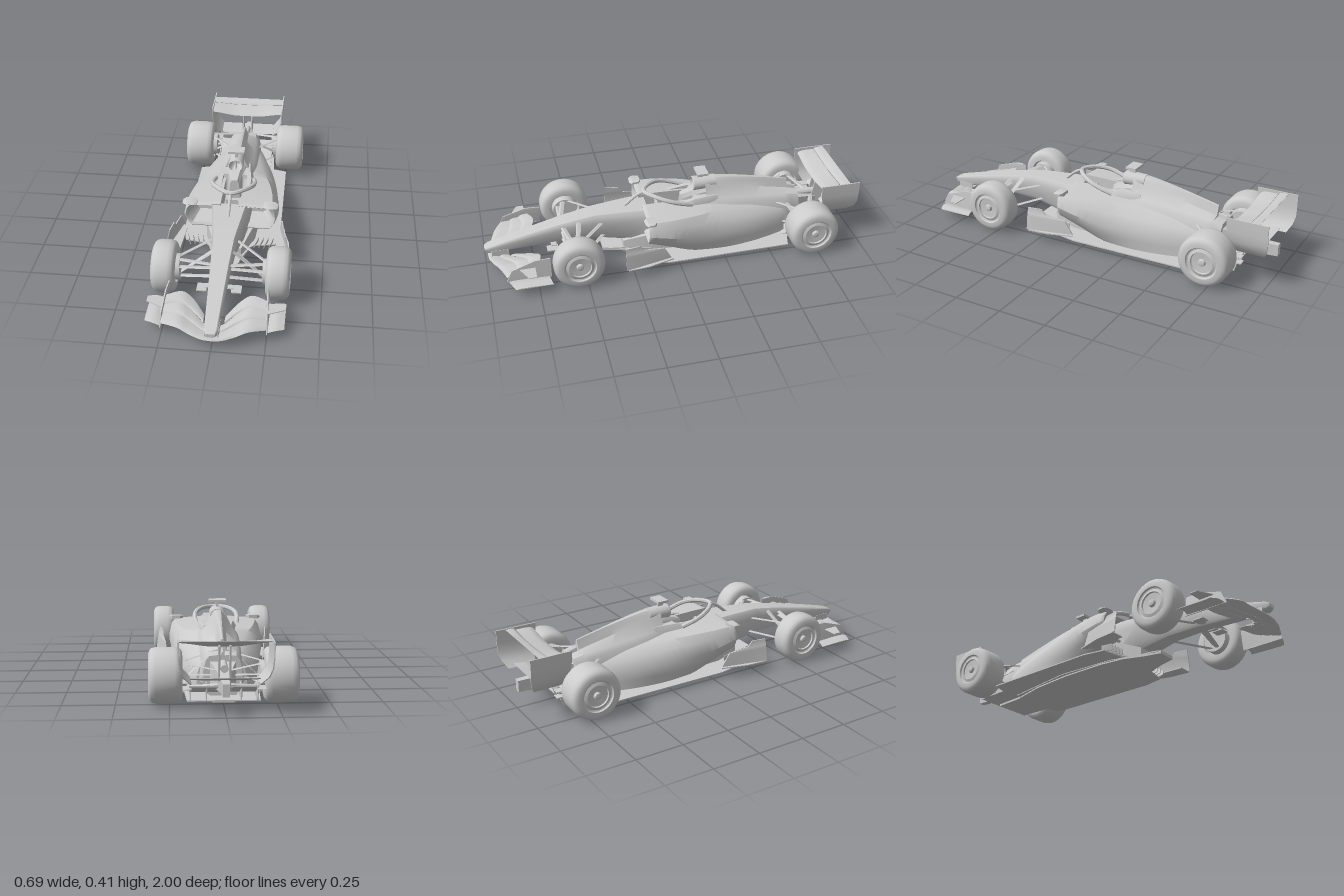
import * as THREE from 'three';
import { toCreasedNormals } from 'three/addons/utils/BufferGeometryUtils.js';

const grey = new THREE.MeshStandardMaterial({ color: 0xcccccc });

function mesh(name, geometry, crease = 0.6) {
  const m = new THREE.Mesh(toCreasedNormals(geometry, crease), grey);
  m.name = name;
  return m;
}

// Skin over closed rings (counter-clockwise seen from the first ring's outside), capped at both ends
function loft(rings) {
  const n = rings[0].length, pos = [], idx = [];
  rings.forEach((r) => r.forEach((p) => pos.push(...p)));
  for (let i = 0; i < rings.length - 1; i++) {
    for (let j = 0; j < n; j++) {
      const k = (j + 1) % n, a = i * n + j, b = i * n + k;
      idx.push(a, a + n, b + n, a, b + n, b);
    }
  }
  [0, rings.length - 1].forEach((i) => {
    const c = pos.length / 3;
    pos.push(...[0, 1, 2].map((q) => rings[i].reduce((s, p) => s + p[q], 0) / n));
    for (let j = 0; j < n; j++) {
      const a = i * n + j, b = i * n + (j + 1) % n;
      if (i === 0) idx.push(c, a, b); else idx.push(c, b, a);
    }
  });
  const g = new THREE.BufferGeometry();
  g.setAttribute('position', new THREE.Float32BufferAttribute(pos, 3));
  g.setIndex(idx);
  return g;
}

// Catmull-Rom interpolation of every column in a table of section values
function smooth(rows, steps = 4) {
  const out = [], at = (i) => rows[Math.min(rows.length - 1, Math.max(0, i))];
  for (let i = 0; i < rows.length - 1; i++) {
    for (let s = 0; s < steps; s++) {
      const t = s / steps;
      out.push(rows[i].map((b, c) => {
        const a = at(i - 1)[c], d = at(i + 1)[c], e = at(i + 2)[c];
        return b + 0.5 * t * (d - a + t * (2 * a - 5 * b + 4 * d - e + t * (3 * (b - d) + e - a)));
      }));
    }
  }
  out.push(at(rows.length));
  return out;
}

// Mirror a half section (bottom to top, x >= 0) into a full ring
const symmetric = (half, z) => [
  ...half.map(([x, y]) => [x, y, z]),
  ...half.filter(([x]) => x > 0).reverse().map(([x, y]) => [-x, y, z]),
];

// Half wing from stations [x, zLead, yLead, zTrail, yTrail], using the chord part from f0 to f1
function wing(stations, f0, f1, thick) {
  const foil = [[0, 0], [0.12, 0.6], [0.4, 0.7], [1, 0.05], [1, -0.1], [0.4, -0.4], [0.1, -0.4]];
  return loft(smooth(stations, 5).map(([x, zl, yl, zt, yt]) => foil.map(([u, v]) => {
    const f = f0 + (f1 - f0) * u;
    return [x, yl + (yt - yl) * f ** 1.3 + v * thick, zl + (zt - zl) * f];
  })));
}

// Thin upright plate from levels [y, xFront, zFront, xBack, zBack], top to bottom
const plate = (levels, t = 0.003) => loft(levels.map(([y, xf, zf, xb, zb]) =>
  [[xf + t, y, zf], [xb + t, y, zb], [xb - t, y, zb], [xf - t, y, zf]]));

// Flat horizontal panel from an outline of [x, z]
function panel(outline, y, h) {
  const g = new THREE.ExtrudeGeometry(new THREE.Shape(outline.map(([x, z]) => new THREE.Vector2(x, -z))),
    { depth: h, bevelEnabled: false });
  return g.rotateX(-Math.PI / 2).translate(0, y, 0);
}

// Panel spanning both sides, from its +x edge listed front to back
const fullPanel = (edge, y, h) => panel([...edge, ...edge.map(([x, z]) => [-x, z]).reverse()], y, h);

const box = (w, h, d, x, y, z) => new THREE.BoxGeometry(w, h, d).translate(x, y, z);

// Flattened strut running outwards from a to b
const strut = (a, b, chord = 0.013, t = 0.004) => loft([a, b].map(([x, y, z]) =>
  [[x, y, z + chord], [x, y + t, z + chord * 0.3], [x, y, z - chord], [x, y - t, z + chord * 0.3]]));

function tube(points, r) {
  return new THREE.TubeGeometry(new THREE.CatmullRomCurve3(points.map((p) => new THREE.Vector3(...p))), 28, r, 8);
}

// Tyre and dished rim turned as one profile, outer face towards +x
function wheel(width, x, z) {
  const h = width / 2, R = 0.132;
  const pts = [[0, -h + 0.02], [0.075, -h + 0.02], [0.08, -h], [0.105, -h], [0.118, -h + 0.006], [0.127, -h + 0.015],
    [R, -h + 0.035], [R, h - 0.035], [0.127, h - 0.015], [0.118, h - 0.006], [0.105, h], [0.083, h], [0.079, h - 0.008],
    [0.073, h - 0.01], [0.058, h - 0.004], [0.055, h - 0.012], [0.02, h - 0.015], [0.016, h - 0.003], [0.007, h], [0, h]];
  return new THREE.LatheGeometry(pts.map((p) => new THREE.Vector2(...p)), 48)
    .rotateZ(-Math.PI / 2).translate(x, R, z);
}

export function createModel() {
  const car = new THREE.Group(), left = new THREE.Group();
  left.name = 'leftSide';
  const add = (name, g, c) => car.add(mesh(name, g, c));
  const side = (name, g, c) => left.add(mesh(name, g, c));

  // Nose and tub: z, top half width, bottom half width, bottom y, top y, cockpit depth
  const tub = [[1, 0.022, 0.018, 0.085, 0.105, 0], [0.98, 0.032, 0.028, 0.076, 0.116, 0], [0.8, 0.041, 0.034, 0.085, 0.162, 0],
    [0.6, 0.051, 0.043, 0.1, 0.208, 0], [0.42, 0.062, 0.052, 0.1, 0.242, 0], [0.25, 0.085, 0.07, 0.07, 0.25, 0],
    [0.13, 0.1, 0.1, 0.03, 0.252, 0], [0.1, 0.104, 0.1, 0.03, 0.254, 0.08], [0, 0.112, 0.1, 0.03, 0.266, 0.1],
    [-0.1, 0.11, 0.1, 0.03, 0.28, 0.11], [-0.12, 0.105, 0.1, 0.03, 0.284, 0], [-0.25, 0.085, 0.1, 0.03, 0.285, 0]];
  add('noseAndTub', loft(tub.map(([z, w, b, y0, y1, d]) => {
    const h = y1 - y0;
    return symmetric([[b * 0.75, y0], [b, y0 + h * 0.15], [w, y1 - h * 0.3], [w * 0.95, y1 - h * 0.1], [w * 0.8, y1],
      [w * 0.6, y1], [w * 0.58, y1 - d], [0, y1 - d]], z);
  })));
  add('headrest', loft([[-0.06, 0.025, 0.28], [-0.13, 0.04, 0.305], [-0.2, 0.05, 0.32]].map(([z, w, y]) =>
    symmetric([[w * 1.2, 0.16], [w, y - 0.02], [w * 0.6, y], [0, y]], z))));

  // Engine cover: z, top y, top half width, shoulder y, shoulder half width, base half width
  const cover = smooth([[-0.19, 0.37, 0.036, 0.27, 0.09, 0.13], [-0.32, 0.358, 0.026, 0.262, 0.1, 0.14],
    [-0.5, 0.325, 0.016, 0.245, 0.094, 0.135], [-0.66, 0.29, 0.01, 0.228, 0.084, 0.1]]);
  cover.push([-0.662, 0.25, 0.009, 0.228, 0.083, 0.1], [-0.71, 0.24, 0.009, 0.218, 0.08, 0.09]);
  add('engineCover', loft(cover.map(([z, yt, wt, ys, ws, wb]) => symmetric([[wb * 0.7, 0.03], [wb, 0.08], [ws + 0.012, ys - 0.07],
    [ws, ys - 0.02], [ws * 0.8, ys], [wt + 0.012, Math.max(yt - 0.05, ys + 0.005)], [wt, yt - 0.02], [wt * 0.5, yt - 0.003], [0, yt]], z))));
  add('airIntake', loft([[-0.18, 0.5], [-0.135, 0.82], [-0.125, 0.9], [-0.13, 1], [-0.25, 0.95]].map(([z, s]) =>
    Array.from({ length: 20 }, (_, i) => {
      const a = i / 20 * Math.PI * 2;
      return [0.041 * s * Math.cos(a), 0.333 + 0.038 * s * Math.sin(a), z];
    }))));
  add('intakePost', box(0.006, 0.07, 0.03, 0, 0.333, -0.15));
  add('cameraStem', box(0.014, 0.04, 0.03, 0, 0.385, -0.17));
  add('cameraBar', box(0.088, 0.012, 0.06, 0, 0.402, -0.175));

  // Sidepods with hollow inlets, sloping down to the floor behind: z, outer x, bottom x, bottom y, top y, shoulder inset
  const pods = [[0.06, 0.19, 0.17, 0.17, 0.225, 0.02], [0.15, 0.225, 0.2, 0.142, 0.247, 0.02], [0.16, 0.238, 0.21, 0.13, 0.255, 0.025]];
  pods.push(...smooth([[0.15, 0.245, 0.2, 0.12, 0.262, 0.03], [0.05, 0.25, 0.19, 0.08, 0.262, 0.035],
    [-0.1, 0.238, 0.19, 0.03, 0.256, 0.05], [-0.27, 0.214, 0.2, 0.028, 0.24, 0.08],
    [-0.45, 0.175, 0.175, 0.028, 0.215, 0.075], [-0.62, 0.12, 0.125, 0.028, 0.18, 0.04]]));
  side('sidepod', loft(pods.map(([z, xo, xb, y0, y1, inset]) => {
    const h = y1 - y0;
    return [[0.05, y0], [xb, y0], [xb + (xo - xb) * 0.7, y0 + h * 0.25], [xo, y0 + h * 0.5], [xo - inset * 0.35, y1 - h * 0.2],
      [xo - inset, y1 - h * 0.03], [0.05, y1 + 0.008]].map(([x, y]) => [x, y, z]);
  })));
  add('lowerBody', loft([[0.27, 0.07, 0.07], [0.12, 0.13, 0.13], [-0.2, 0.15, 0.12], [-0.6, 0.09, 0.1]].map(([z, w, y]) =>
    symmetric([[w, 0.02], [w, y]], z))));

  // Stepped floor, diffuser and the small vanes
  add('floor', fullPanel([[0.05, 0.38], [0.065, 0.34], [0.08, 0.23], [0.13, 0.18], [0.24, 0.16], [0.262, 0.05],
    [0.255, -0.6], [0.18, -0.62], [0.17, -0.8]], 0.024, 0.006), 0.3);
  add('floorStep', fullPanel([[0.05, 0.38], [0.07, 0.3], [0.115, 0.18], [0.132, 0.05], [0.132, -0.2], [0.11, -0.42],
    [0.06, -0.62], [0.05, -0.78]], 0.013, 0.012), 0.3);
  add('diffuser', loft([[-0.6, 0.024], [-0.72, 0.05], [-0.84, 0.1]].map(([z, y]) => symmetric([[0.16, y], [0.16, y + 0.008]], z))));
  for (const x of [0.08, 0.155]) {
    side('diffuserStrake', plate([[0.1, x, -0.72, x, -0.84], [0.03, x, -0.66, x, -0.82]], 0.002));
  }
  for (let i = 0; i < 4; i++) {
    const x = 0.14 + i * 0.026;
    side('turningVane', plate([[0.06, x, 0.2, x + 0.012, 0.14], [0.028, x - 0.01, 0.2, x + 0.008, 0.14]], 0.002));
  }
  side('noseVane', box(0.05, 0.005, 0.06, 0.085, 0.098, 0.65));
  side('noseVaneStay', box(0.03, 0.005, 0.03, 0.055, 0.102, 0.64));

  // Tall deflector ahead of the sidepod, with its foot
  side('deflector', plate([[0.18, 0.3, 0.3, 0.288, 0.225], [0.15, 0.306, 0.3, 0.285, 0.2], [0.135, 0.31, 0.3, 0.272, 0.09],
    [0.06, 0.32, 0.3, 0.262, 0.05]]));
  side('deflectorFoot', panel([[0.25, 0.29], [0.325, 0.29], [0.315, 0.18], [0.275, 0.04], [0.24, 0.1]], 0.055, 0.006), 0.3);

  // Front wing: full-span main element and two flaps; stations x, lead z, lead y, trail z, trail y
  const front = [[0, 0.985, 0.05, 0.85, 0.06], [0.05, 0.98, 0.052, 0.82, 0.066], [0.11, 0.96, 0.062, 0.75, 0.098],
    [0.17, 0.937, 0.077, 0.722, 0.122], [0.248, 0.905, 0.068, 0.75, 0.115]];
  side('frontWingMain', wing(front, 0, 0.38, 0.012));
  side('frontWingFlap', wing(front, 0.38, 0.69, 0.011));
  side('frontWingFlap', wing(front.slice(1), 0.69, 1, 0.01));
  side('frontWingPylon', box(0.006, 0.04, 0.09, 0.03, 0.072, 0.92));
  side('frontEndplate', plate([[0.15, 0.245, 0.76, 0.24, 0.68], [0.11, 0.25, 0.88, 0.246, 0.68], [0.045, 0.252, 0.91, 0.255, 0.68]]));
  side('frontFoot', wing([[0.25, 0.9, 0.047, 0.69, 0.047], [0.29, 0.89, 0.055, 0.69, 0.06], [0.332, 0.87, 0.05, 0.68, 0.052]], 0, 1, 0.006));
  side('frontWinglet', panel([[0.25, 0.84], [0.332, 0.8], [0.332, 0.76], [0.25, 0.76]], 0.108, 0.004), 0.3);

  // Rear wing
  const rear = [[0, -0.8, 0.288, -0.95, 0.333], [0.08, -0.8, 0.289, -0.95, 0.333], [0.16, -0.8, 0.302, -0.95, 0.333], [0.208, -0.8, 0.308, -0.95, 0.333]];
  side('rearWingMain', wing(rear, 0, 0.64, 0.014));
  side('rearWingFlap', wing(rear, 0.66, 1, 0.01));
  side('rearEndplate', plate([[0.337, 0.21, -0.785, 0.21, -1], [0.27, 0.21, -0.79, 0.21, -1], [0.22, 0.205, -0.8, 0.205, -1],
    [0.18, 0.19, -0.81, 0.19, -0.99], [0.145, 0.155, -0.83, 0.155, -0.97]]));
  side('rearWingPillar', plate([[0.3, 0.025, -0.83, 0.025, -0.89], [0.13, 0.025, -0.8, 0.025, -0.86]], 0.004));
  side('beamWing', wing([[0, -0.85, 0.14, -0.94, 0.165], [0.08, -0.85, 0.14, -0.94, 0.165], [0.157, -0.85, 0.145, -0.94, 0.165]], 0, 1, 0.01));
  add('gearbox', loft([[-0.68, 0.07, 0.06, 0.2], [-0.8, 0.035, 0.08, 0.17], [-0.88, 0.02, 0.085, 0.15], [-0.99, 0.016, 0.09, 0.15]]
    .map(([z, w, a, b]) => symmetric([[w, a], [w, b]], z))));
  add('exhaust', new THREE.CylinderGeometry(0.018, 0.018, 0.12, 16).rotateX(Math.PI / 2).translate(0, 0.185, -0.78));
  for (const y of [0.095, 0.125]) side('rearCascade', box(0.04, 0.004, 0.07, 0.17, y, -0.83));

  // Halo around the cockpit
  add('haloHoop', tube([[-0.104, 0.268, -0.1], [-0.112, 0.287, -0.04], [-0.106, 0.309, 0.03], [-0.068, 0.323, 0.095], [0, 0.324, 0.14],
    [0.068, 0.323, 0.095], [0.106, 0.309, 0.03], [0.112, 0.287, -0.04], [0.104, 0.268, -0.1]], 0.012));
  add('haloPillar', tube([[0, 0.322, 0.135], [0, 0.302, 0.18], [0, 0.24, 0.255]], 0.008));
  add('steeringWheel', box(0.07, 0.035, 0.012, 0, 0.225, 0.07));

  // Mirrors
  side('mirror', loft([[0.175, 0.007, 0.02], [0.19, 0.011, 0.03], [0.235, 0.01, 0.028], [0.25, 0.005, 0.016]].map(([x, h, d]) =>
    [[x, 0.264, 0.15 + d], [x, 0.264 + h, 0.15 + d * 0.5], [x, 0.264 + h, 0.15 - d], [x, 0.264 - h, 0.15 - d], [x, 0.264 - h, 0.15 + d * 0.5]])));
  side('mirrorStay', strut([0.09, 0.245, 0.14], [0.19, 0.258, 0.145], 0.008, 0.003));
  side('mirrorStay', strut([0.21, 0.235, 0.11], [0.215, 0.26, 0.14], 0.008, 0.003));

  // Wheels, hubs and suspension
  side('frontWheel', wheel(0.118, 0.282, 0.54));
  side('rearWheel', wheel(0.157, 0.268, -0.72));
  const drum = (x, z) => new THREE.CylinderGeometry(0.07, 0.065, 0.05, 24).rotateZ(-Math.PI / 2).translate(x, 0.132, z);
  side('frontBrakeDrum', drum(0.23, 0.54));
  side('rearBrakeDrum', drum(0.195, -0.72));
  [
    [[0.05, 0.2, 0.37], [0.22, 0.185, 0.53]], [[0.045, 0.19, 0.585], [0.22, 0.185, 0.55]],
    [[0.05, 0.12, 0.37], [0.22, 0.085, 0.53]], [[0.04, 0.12, 0.585], [0.22, 0.085, 0.55]],
    [[0.05, 0.215, 0.5], [0.21, 0.1, 0.54]], [[0.045, 0.17, 0.585], [0.22, 0.16, 0.58]],
  ].forEach(([a, b]) => side('frontSuspensionArm', strut(a, b)));
  [
    [[0.06, 0.2, -0.55], [0.2, 0.19, -0.71]], [[0.03, 0.17, -0.8], [0.2, 0.19, -0.73]],
    [[0.07, 0.1, -0.55], [0.2, 0.08, -0.71]], [[0.03, 0.11, -0.82], [0.2, 0.08, -0.74]],
    [[0.05, 0.13, -0.72], [0.2, 0.132, -0.72]], [[0.06, 0.21, -0.62], [0.19, 0.1, -0.7]],
  ].forEach(([a, b]) => side('rearSuspensionArm', strut(a, b)));

  const right = left.clone();
  right.name = 'rightSide';
  right.scale.x = -1;
  car.add(left, right);
  return car;
}
